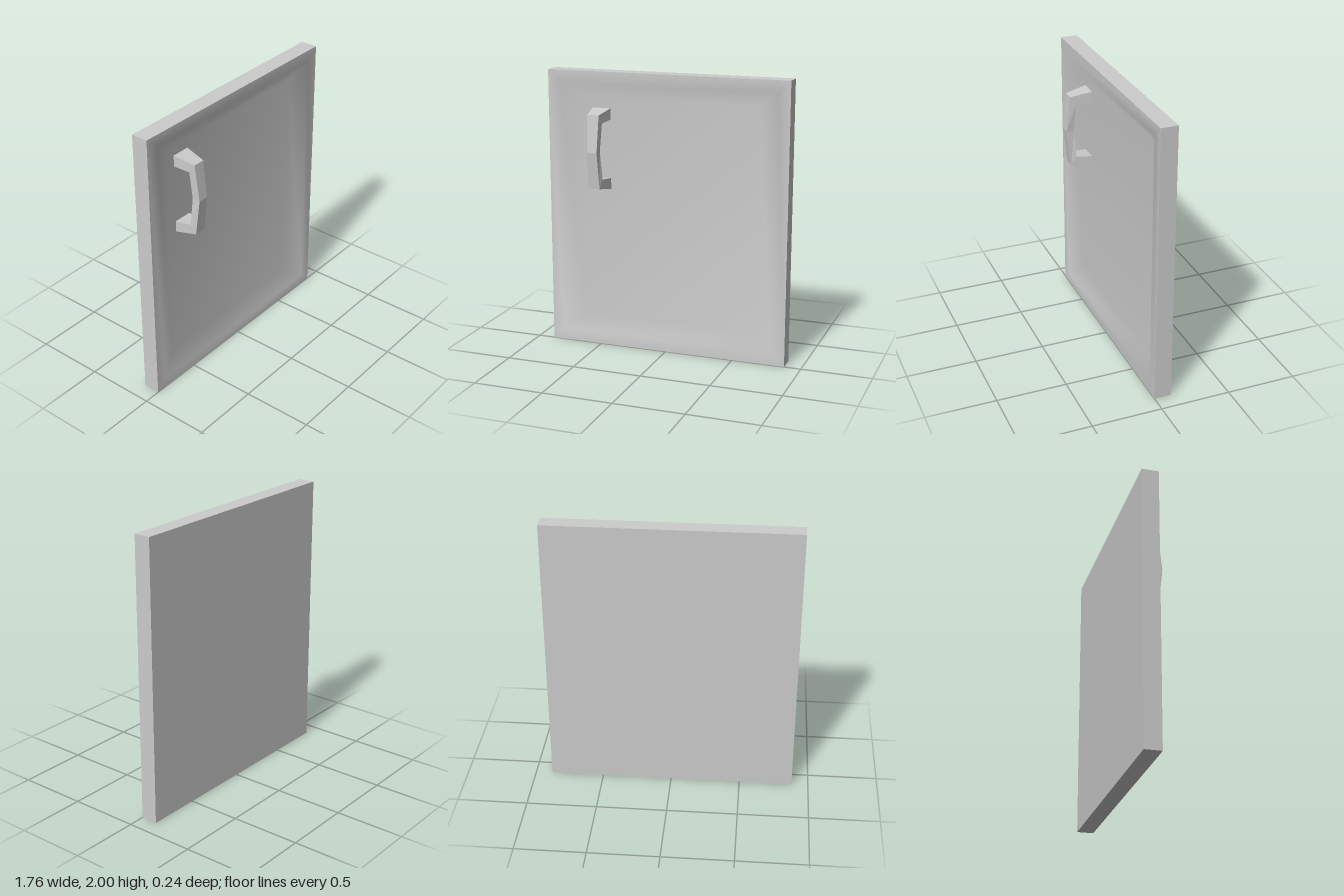
import * as THREE from 'three';

// Skins a run of four-cornered sections, with optional end caps
function loft(rings, { startCap = false, endCap = false, flat = true } = {}) {
  const index = [];
  const quad = (a, b, c, d) => index.push(a, b, c, a, c, d);
  for (let r = 0; r < rings.length - 1; r++) {
    for (let k = 0; k < 4; k++) {
      const a = r * 4 + k, b = r * 4 + (k + 1) % 4;
      quad(a, b, b + 4, a + 4);
    }
  }
  const last = (rings.length - 1) * 4;
  if (startCap) quad(3, 2, 1, 0);
  if (endCap) quad(last, last + 1, last + 2, last + 3);
  let geometry = new THREE.BufferGeometry();
  geometry.setAttribute('position', new THREE.Float32BufferAttribute(rings.flat(2), 3));
  geometry.setIndex(index);
  if (flat) geometry = geometry.toNonIndexed();
  geometry.computeVertexNormals();
  return geometry;
}

// Rectangle inset from the door outline at depth z
function doorRing(insetX, insetY, z) {
  const x = 0.88 - insetX, y0 = insetY, y1 = 2 - insetY;
  return [[-x, y0, z], [x, y0, z], [x, y1, z], [-x, y1, z]];
}

export function createModel() {
  const group = new THREE.Group();
  const material = new THREE.MeshStandardMaterial({ color: 0xcccccc });
  const add = (name, geometry) => {
    const mesh = new THREE.Mesh(geometry, material);
    mesh.name = name;
    group.add(mesh);
    return mesh;
  };

  // Back and four edges of the door
  add('doorBody', loft([doorRing(0, 0, -0.12), doorRing(0, 0, 0)], { startCap: true }));

  // Flat rim, sloped bevel and sunken panel, smoothly shaded
  add('doorFront', loft(
    [doorRing(0, 0, 0), doorRing(0.09, 0.08, 0), doorRing(0.23, 0.19, -0.065)],
    { endCap: true, flat: false }
  ));

  // Bowed handle, narrow in the middle and flared at the feet.
  // Each half section: outer y, z, half width, then inner y, z, half width
  const midY = 1.445;
  const half = [
    [0, 0.12, 0.036, 0, 0.062, 0.036],
    [0.262, 0.09, 0.043, 0.2, 0.05, 0.05],
    [0.29, -0.065, 0.067, 0.21, -0.065, 0.067],
  ];
  const mirrored = half.slice(1).reverse()
    .map(([yo, zo, wo, yi, zi, wi]) => [-yo, zo, wo, -yi, zi, wi]);
  const rings = [...mirrored, ...half].map(([yo, zo, wo, yi, zi, wi]) => [
    [-wo, yo, zo], [wo, yo, zo], [wi, yi, zi], [-wi, yi, zi],
  ]);
  const handle = add('handle', loft(rings, { startCap: true, endCap: true }));
  handle.position.set(-0.502, midY, 0);

  return group;
}
